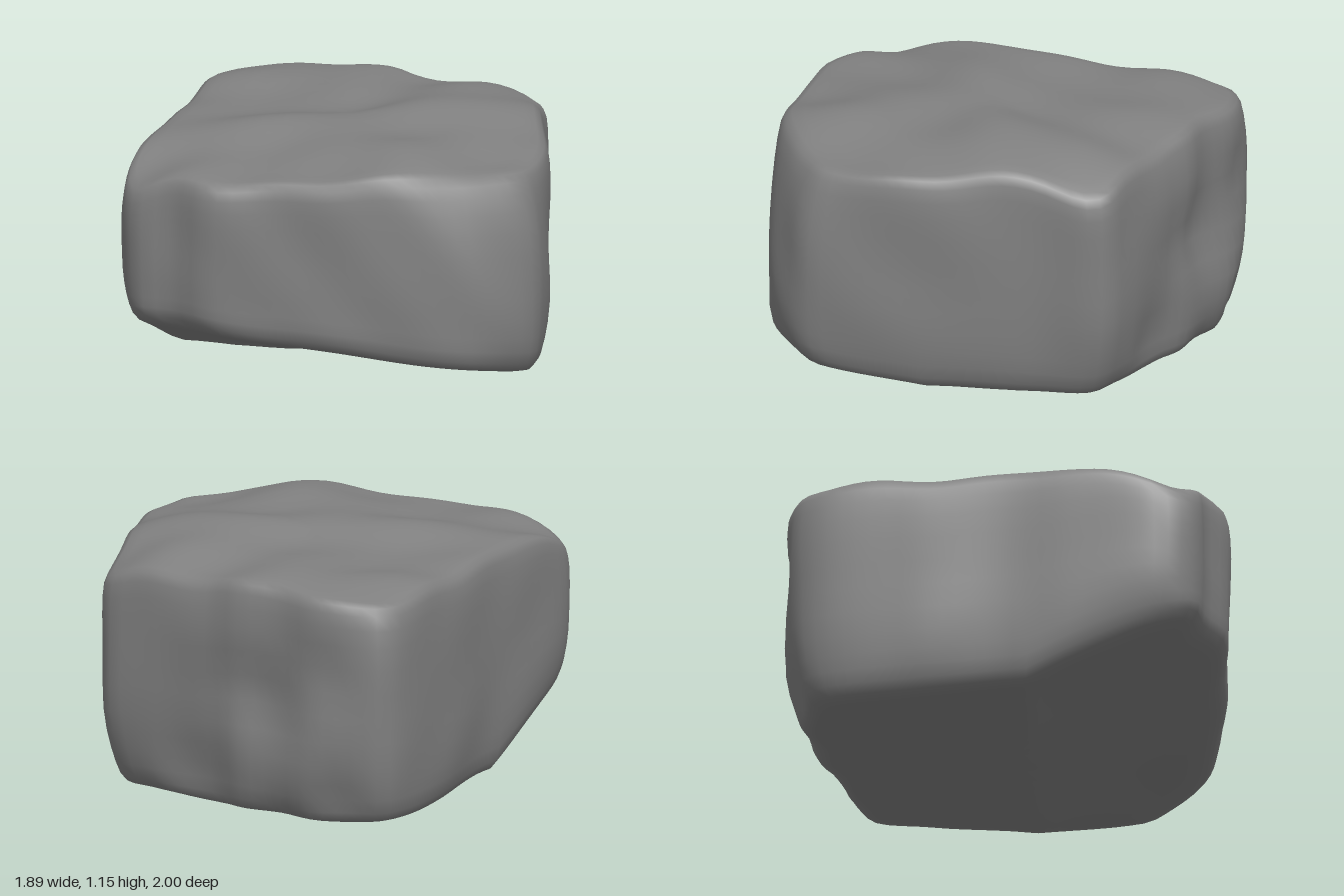
import * as THREE from 'three';
import { mergeVertices } from 'three/addons/utils/BufferGeometryUtils.js';

// Plan outline of the boulder as x, z pairs, starting at the back corner on -x
const OUTLINE = [
  [-0.73, -0.91], [-0.62, -0.97], [-0.4, -0.99], [-0.2, -0.93], [0.03, -0.91], [0.14, -0.86],
  [0.55, -0.78], [0.74, -0.71], [0.79, -0.4], [0.88, 0], [0.93, 0.3], [0.95, 0.55],
  [0.94, 0.66], [0.85, 0.77], [0.68, 0.88], [0.2, 0.97], [-0.15, 0.98], [-0.4, 1],
  [-0.53, 0.99], [-0.68, 0.91], [-0.87, 0.87], [-0.94, 0.75], [-0.95, 0.66], [-0.91, 0.3],
  [-0.86, 0], [-0.83, -0.45],
];

// Rings from the underside to the top: outline scale, height fraction
const CAP = [0, 0.1, 0.2, 0.3, 0.4, 0.5, 0.6, 0.7, 0.8];
const RINGS = [
  ...CAP.map((s) => [s, 0]),
  [0.87, 0.003], [0.925, 0.02], [0.955, 0.06], [0.972, 0.12], [0.985, 0.19], [0.995, 0.28],
  [1, 0.38], [1, 0.49], [1, 0.6], [1, 0.71], [0.998, 0.81], [0.993, 0.89], [0.984, 0.95],
  [0.967, 0.985], [0.935, 0.998], [0.88, 1],
  ...CAP.map((s) => [s, 1]).reverse(),
];

// Swellings and dropped corners of the top face: x, z, height, radius
const BUMPS = [
  [0.42, -0.1, 0.11, 0.27], [0.28, 0.62, 0.09, 0.2], [-0.15, 0.22, 0.08, 0.22],
  [-0.6, 0.2, 0.05, 0.2], [-0.15, -0.65, 0.06, 0.22], [-0.6, -0.55, 0.035, 0.17],
  [0.52, -0.5, 0.04, 0.17], [0.82, -0.65, -0.08, 0.14], [-0.97, 0.87, -0.11, 0.16],
];

// Hollows and knobs on the rough back face: x, y, depth, radius
const DENTS = [
  [-0.05, 0.58, 0.06, 0.12], [-0.25, 0.25, -0.02, 0.12], [0.3, 0.2, 0.04, 0.12],
  [-0.5, 0.1, 0.04, 0.1], [-0.45, 0.7, 0.03, 0.1], [0.2, 0.8, -0.02, 0.13],
];

const sumOf = (list, u, v) => list.reduce(
  (s, [a, b, h, r]) => s + h * Math.exp(-((u - a) ** 2 + (v - b) ** 2) / (2 * r * r)), 0);

const ripple = (x, y, z) =>
  Math.sin(7 * x + 4 * z + 1) * Math.sin(6 * y - 5 * z + 2) + 0.5 * Math.sin(13 * x - 9 * z + 11 * y);

// Top has low diagonal ridges
const topHeight = (x, z) =>
  1.05 + sumOf(BUMPS, x, z) + 0.012 * Math.sin(9 * (x + z)) * Math.sin(4 * (x - z) + 1);

// Underside is level at the back and rises in a long bevel to the front, higher on -x
function bottomHeight(x, z) {
  const run = Math.max(0, (z - 0.1) / 0.85);
  const rise = run * (1.4 - 0.4 * run) * (0.225 - 0.12 * x);
  return 0.036 + 0.03 * Math.min(z, 0) + rise + 0.008 * Math.sin(8 * x + 1) * Math.cos(6 * z);
}

// How strongly a corner at the given angle affects a point
const nearAngle = (angle, centre, width) => Math.exp(-(((angle - centre) / width) ** 2));

function boulderGeometry() {
  const { lerp, smoothstep } = THREE.MathUtils;
  const sides = 104;
  const curve = new THREE.CatmullRomCurve3(
    OUTLINE.map(([x, z]) => new THREE.Vector3(x, 0, z)), true, 'centripetal');
  const plan = curve.getSpacedPoints(sides).slice(0, sides);
  const positions = [], index = [];

  for (const [ringScale, t] of RINGS) {
    for (const p of plan) {
      // Front +x corner leans in toward the top, back +x corner is undercut
      const angle = Math.atan2(p.z, p.x);
      const lean = 0.11 * t ** 3 * nearAngle(angle, 0.78, 0.32)
        + 0.06 * (1 - t) ** 4 * nearAngle(angle, -0.77, 0.3);
      // The lower front edge is crisper than the others
      const crisp = smoothstep(p.z, 0.7, 0.95) * (1 - t);
      const scale = lerp(ringScale, Math.min(1, ringScale * 1.035), crisp) * (1 - lean);
      let x = p.x * scale, z = p.z * scale;
      const y = lerp(bottomHeight(x, z), topHeight(x, z), t);
      // Gentle unevenness on the walls, dents on the back
      const wall = smoothstep(ringScale, 0.8, 0.97);
      const swell = 1 + 0.006 * wall * (ripple(x, y, z) - 0.4);
      x *= swell;
      z *= swell;
      z += wall * smoothstep(-z, 0.6, 0.8) * sumOf(DENTS, x, y);
      positions.push(x, y, z);
    }
  }

  for (let r = 0; r < RINGS.length - 1; r++) {
    for (let i = 0; i < sides; i++) {
      const a = r * sides + i, b = r * sides + (i + 1) % sides;
      const c = a + sides, d = b + sides;
      if (r < RINGS.length - 2) index.push(a, c, d);
      if (r > 0) index.push(a, d, b);
    }
  }

  const rings = new THREE.BufferGeometry();
  rings.setAttribute('position', new THREE.Float32BufferAttribute(positions, 3));
  rings.setIndex(index);
  const geometry = mergeVertices(rings, 1e-5);
  geometry.computeVertexNormals();
  return geometry;
}

export function createModel() {
  const group = new THREE.Group();
  group.name = 'rock';
  const boulder = new THREE.Mesh(boulderGeometry(), new THREE.MeshStandardMaterial({ color: 0x808080 }));
  boulder.name = 'boulder';
  group.add(boulder);
  return group;
}
